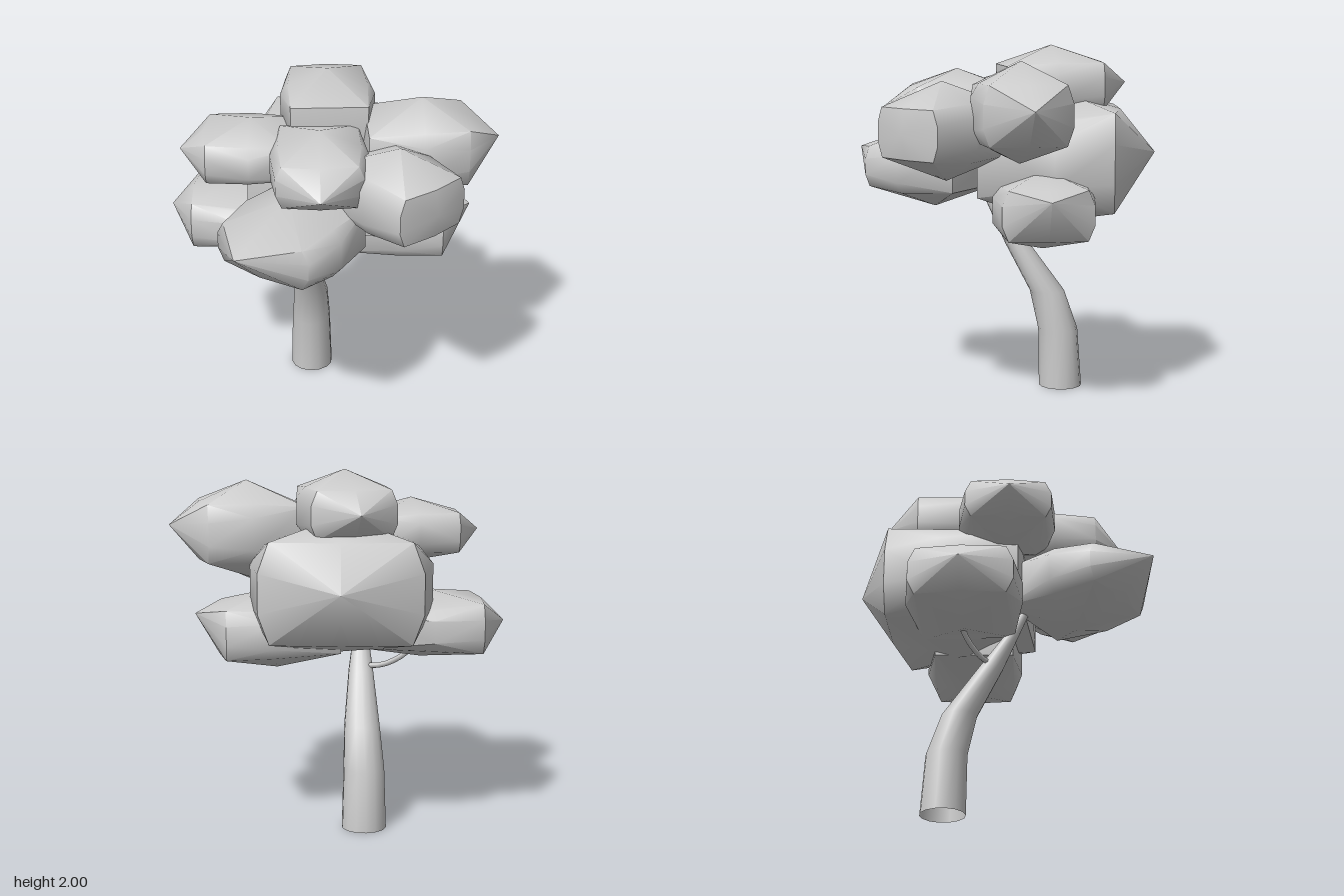
import * as THREE from 'three';
import { ConvexGeometry } from 'three/addons/geometries/ConvexGeometry.js';
import { toCreasedNormals } from 'three/addons/utils/BufferGeometryUtils.js';

const material = new THREE.MeshStandardMaterial({ color: 0xcccccc });
const openMaterial = new THREE.MeshStandardMaterial({ color: 0xcccccc, side: THREE.DoubleSide });

// Leaf clump: faceted pillow with a peak above, a peak below, a tip pointing out along +x
// and a blunt inner end; cornerU and cornerH place the corners around the tip
function clumpGeometry([length, height, width], [cornerU, cornerH, tipH, innerU]) {
  const unit = [[0, 1, 0], [-0.1, -1, 0], [1, tipH, 0], [innerU - 0.05, 0, 0]];
  for (const t of [-1, 1]) {
    unit.push([cornerU + 0.06, t * cornerH, 0]);
    for (const s of [-1, 1]) {
      unit.push([cornerU, t * cornerH, s * 0.76]);
      unit.push([cornerU, t * cornerH * 0.4, s * 0.88]);
      unit.push([0, t * 0.58, s * 0.84]);
      unit.push([0, t * 0.32, s]);
      unit.push([innerU, t * 0.5, s * 0.8]);
    }
  }
  const points = unit.map(([x, y, z]) => new THREE.Vector3(x * length, y * height, z * width));
  return toCreasedNormals(new ConvexGeometry(points), 0.8);
}

// Trunk: open cylinder whose rings follow a bending, tapering path
function trunkGeometry() {
  // x, y, z, radius from the ground up
  const rings = [
    [-0.135, 0.0, -0.33, 0.125],
    [-0.135, 0.34, -0.315, 0.115],
    [-0.13, 0.57, -0.25, 0.1],
    [-0.14, 0.85, -0.075, 0.07],
    [-0.15, 1.05, 0.045, 0.04],
    [-0.15, 1.2, 0.12, 0.03],
  ];
  const last = rings.length - 1;
  const geometry = new THREE.CylinderGeometry(1, 1, 1, 14, last, true);
  const pos = geometry.attributes.position;
  for (let i = 0; i < pos.count; i++) {
    const [x, y, z, r] = rings[Math.round((pos.getY(i) + 0.5) * last)];
    pos.setXYZ(i, x + pos.getX(i) * r, y, z + pos.getZ(i) * r);
  }
  return toCreasedNormals(geometry, 0.9);
}

export function createModel() {
  const group = new THREE.Group();
  const add = (name, geometry, mat = material) => {
    const mesh = new THREE.Mesh(geometry, mat);
    mesh.name = name;
    group.add(mesh);
    return mesh;
  };

  add('trunk', trunkGeometry(), openMaterial);

  // Thin side branch reaching the low right clump
  const branchPath = new THREE.CatmullRomCurve3([
    new THREE.Vector3(-0.15, 0.87, -0.07),
    new THREE.Vector3(-0.26, 0.89, -0.14),
    new THREE.Vector3(-0.38, 0.97, -0.21),
    new THREE.Vector3(-0.44, 1.06, -0.23),
  ]);
  add('sideBranch', new THREE.TubeGeometry(branchPath, 8, 0.015, 6), openMaterial);

  // name, centre, half length / height / width, corner, tip and inner end placement, outward direction in x and z
  const clumps = [
    ['backClump', [-0.01, 1.37, -0.3], [0.55, 0.38, 0.5], [0.58, 0.72, 0.08, -0.78], [0.09, -1]],
    ['topClump', [-0.03, 1.775, -0.26], [0.43, 0.225, 0.265], [0.61, 0.58, 0.06, -0.66], [-0.12, -1]],
    ['upperFrontClump', [-0.03, 1.655, 0.27], [0.42, 0.215, 0.265], [0.57, 0.55, 0, -0.7], [0.1, 1]],
    ['upperLeftClump', [0.5, 1.655, -0.07], [0.43, 0.275, 0.27], [0.56, 0.58, 0.13, -0.7], [1, -0.13]],
    ['upperFrontLeftClump', [0.4, 1.55, 0.35], [0.3, 0.27, 0.26], [0.85, 0.5, 0, -1], [1, 1]],
    ['upperRightClump', [-0.43, 1.635, 0.03], [0.39, 0.185, 0.27], [0.6, 0.6, 0, -0.6], [-1, 0.08]],
    ['lowRightClump', [-0.5, 1.14, -0.2], [0.43, 0.19, 0.32], [0.64, 0.72, 0.05, -0.85], [-1, 0]],
    ['lowFrontClump', [-0.18, 1.31, 0.44], [0.47, 0.24, 0.34], [0.5, 0.48, 0.35, -0.7], [-0.51, 0.86]],
    ['lowLeftClump', [0.38, 1.12, -0.2], [0.41, 0.22, 0.28], [0.62, 0.62, 0.42, -0.9], [1, -0.05]],
  ];
  for (const [name, centre, size, shape, [dx, dz]] of clumps) {
    const mesh = add(name, clumpGeometry(size, shape));
    mesh.position.set(...centre);
    mesh.rotation.y = Math.atan2(-dz, dx);
  }
  return group;
}
